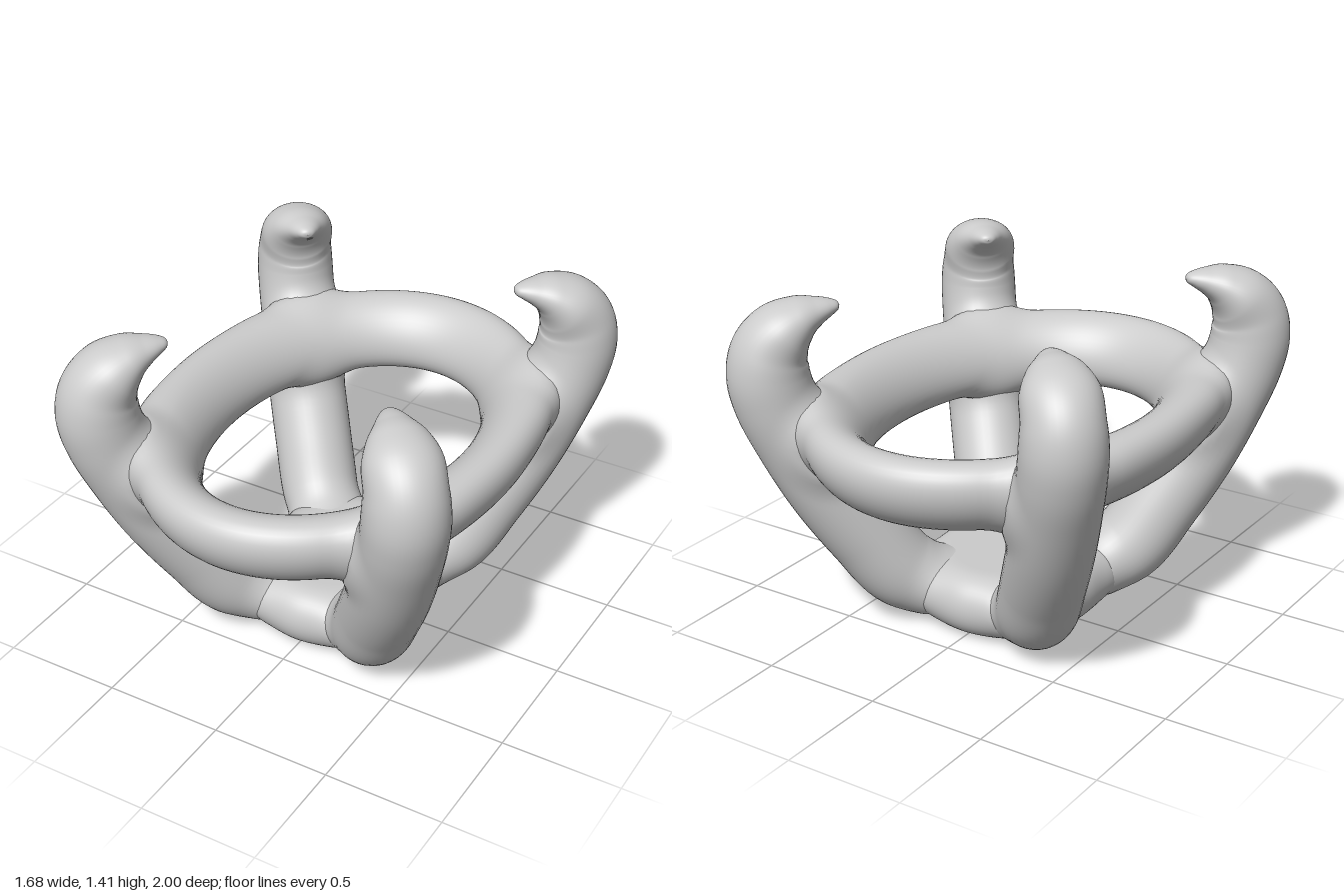
import * as THREE from 'three';

const material = new THREE.MeshStandardMaterial({ color: 0xcccccc });
const V = (x, y, z) => new THREE.Vector3(x, y, z);

// Skin a grid of closed cross-sections; wrap joins the last section to the first
function loft(name, sections, wrap) {
  const rows = sections.length, cols = sections[0].length, index = [];
  for (let i = 0; i < (wrap ? rows : rows - 1); i++) {
    for (let j = 0; j < cols; j++) {
      const n = (i + 1) % rows, k = (j + 1) % cols;
      const a = i * cols + j, b = i * cols + k, c = n * cols + j, d = n * cols + k;
      index.push(a, b, c, b, d, c);
    }
  }
  const geometry = new THREE.BufferGeometry().setFromPoints(sections.flat());
  geometry.setIndex(index);
  geometry.computeVertexNormals();
  const mesh = new THREE.Mesh(geometry, material);
  mesh.name = name;
  return mesh;
}

// Fillet: swell a surface near a neighbouring part, given the distance to that part
function fillet(mesh, distance, reach, flat) {
  const { position, normal } = mesh.geometry.attributes;
  const v = V(0, 0, 0), n = V(0, 0, 0);
  for (let i = 0; i < position.count; i++) {
    v.fromBufferAttribute(position, i);
    n.fromBufferAttribute(normal, i);
    if (flat) n.y = 0;
    const near = 1 - THREE.MathUtils.clamp(distance(v) / reach, 0, 1);
    v.addScaledVector(n, 0.27 * reach * near * near);
    position.setXYZ(i, v.x, v.y, v.z);
  }
  mesh.geometry.computeVertexNormals();
}

// Oval ring with a section that leans outward towards the top
const ringCentre = [];
function ovalRing() {
  const sections = [];
  for (let i = 0; i < 160; i++) {
    const a = (i / 160) * Math.PI * 2, section = [];
    ringCentre.push(V(0.632 * Math.cos(a), 0.848, 0.865 * Math.sin(a)));
    // the long sides are a little fuller next to the prongs
    const fold = Math.atan2(Math.abs(Math.sin(a)), Math.abs(Math.cos(a)));
    const fuller = 0.025 * Math.exp(-(((fold - 0.5) / 0.22) ** 2));
    for (let j = 0; j < 40; j++) {
      const t = (j / 40) * Math.PI * 2;
      const out = 0.135 * Math.cos(t) + fuller * Math.max(Math.cos(t), 0);
      const up = 0.152 * Math.sin(t + 0.35);
      section.push(V((0.632 + out) * Math.cos(a), 0.848 + up, (0.865 + out) * Math.sin(a)));
    }
    sections.push(section);
  }
  return loft('ovalRing', sections, true);
}

// Prong path: x, height, radius
const prongPath = [
  [0, 0.125, 0.125], [0.22, 0.138, 0.141], [0.328, 0.21, 0.165], [0.43, 0.4, 0.168],
  [0.532, 0.62, 0.168], [0.613, 0.84, 0.166], [0.661, 1.0, 0.165], [0.677, 1.11, 0.163],
  [0.668, 1.2, 0.154], [0.635, 1.275, 0.13], [0.585, 1.33, 0.088], [0.54, 1.354, 0.055],
  [0.505, 1.365, 0.033], [0.485, 1.368, 0.016], [0.48, 1.368, 0],
];

// Curved prong rising diagonally from the hub and hooking inward to a flattened tip
const prongSpheres = [];
function prong(name, sx, sz) {
  const dir = V(sx, 0, 1.07 * sz), stretch = dir.length();
  dir.normalize();
  const curve = new THREE.CatmullRomCurve3(prongPath.map(([x, y, r]) => V(x * stretch, y, r)));
  const inPlane = (u, y) => dir.clone().multiplyScalar(u).setY(y);
  const sections = [], steps = 120;
  for (let i = 0; i <= steps; i++) {
    const p = curve.getPoint(i / steps), q = curve.getTangent(i / steps);
    const along = inPlane(q.x, q.y).normalize();
    const normal = inPlane(q.y, -q.x).normalize();
    const side = along.clone().cross(normal);
    const r = Math.max(p.z, 0), section = [];
    const wide = r * (1 + 0.45 * THREE.MathUtils.smoothstep(i / steps, 0.56, 0.76));
    prongSpheres.push({ centre: inPlane(p.x, p.y), r });
    for (let j = 0; j < 40; j++) {
      const t = (j / 40) * Math.PI * 2;
      const v = inPlane(p.x, p.y)
        .addScaledVector(normal, r * Math.cos(t)).addScaledVector(side, wide * Math.sin(t));
      v.y = Math.max(v.y, 0.003); // flat underside
      section.push(v);
    }
    sections.push(section);
  }
  return loft(name, sections, false);
}

// Flat oval hub with a rounded rim
function hub() {
  const section = (r, y) => Array.from({ length: 96 }, (_, j) => {
    const a = (j / 96) * Math.PI * 2;
    return V(0.86 * r * Math.cos(a), y, r * Math.sin(a));
  });
  const sections = [section(0, 0.268), section(0.15, 0.268)];
  for (let i = 0; i <= 24; i++) {
    const t = Math.PI / 2 - (i / 24) * Math.PI;
    const bulge = Math.pow(Math.max(Math.cos(t), 0), 0.8);
    sections.push(section(0.29 + 0.15 * bulge, 0.134 + 0.134 * Math.sin(t)));
  }
  sections.push(section(0.15, 0), section(0, 0));
  return loft('hub', sections, false);
}

// Approximate distances to the parts, used for the fillets
const toRing = (v) => Math.min(...ringCentre.map((c) => c.distanceTo(v))) - 0.143;
const toProngs = (v) => Math.min(...prongSpheres.map((s) => s.centre.distanceTo(v) - s.r));
const toHub = (v) => Math.hypot(
  Math.max(Math.hypot(v.x / 0.86, v.z) - 0.3, 0), Math.max(v.y - 0.134, 0)) - 0.134;

export function createModel() {
  const model = new THREE.Group();
  model.name = 'prongSetting';
  ringCentre.length = prongSpheres.length = 0;
  const ring = ovalRing(), base = hub();
  model.add(ring, base);
  for (const [sx, lr] of [[1, 'Left'], [-1, 'Right']]) {
    for (const [sz, fb] of [[1, 'front'], [-1, 'back']]) {
      const part = prong(`${fb}${lr}Prong`, sx, sz);
      fillet(part, toRing, 0.11, false);
      fillet(part, toHub, 0.12, true);
      model.add(part);
    }
  }
  fillet(ring, toProngs, 0.11, false);
  fillet(base, toProngs, 0.12, true);
  return model;
}
